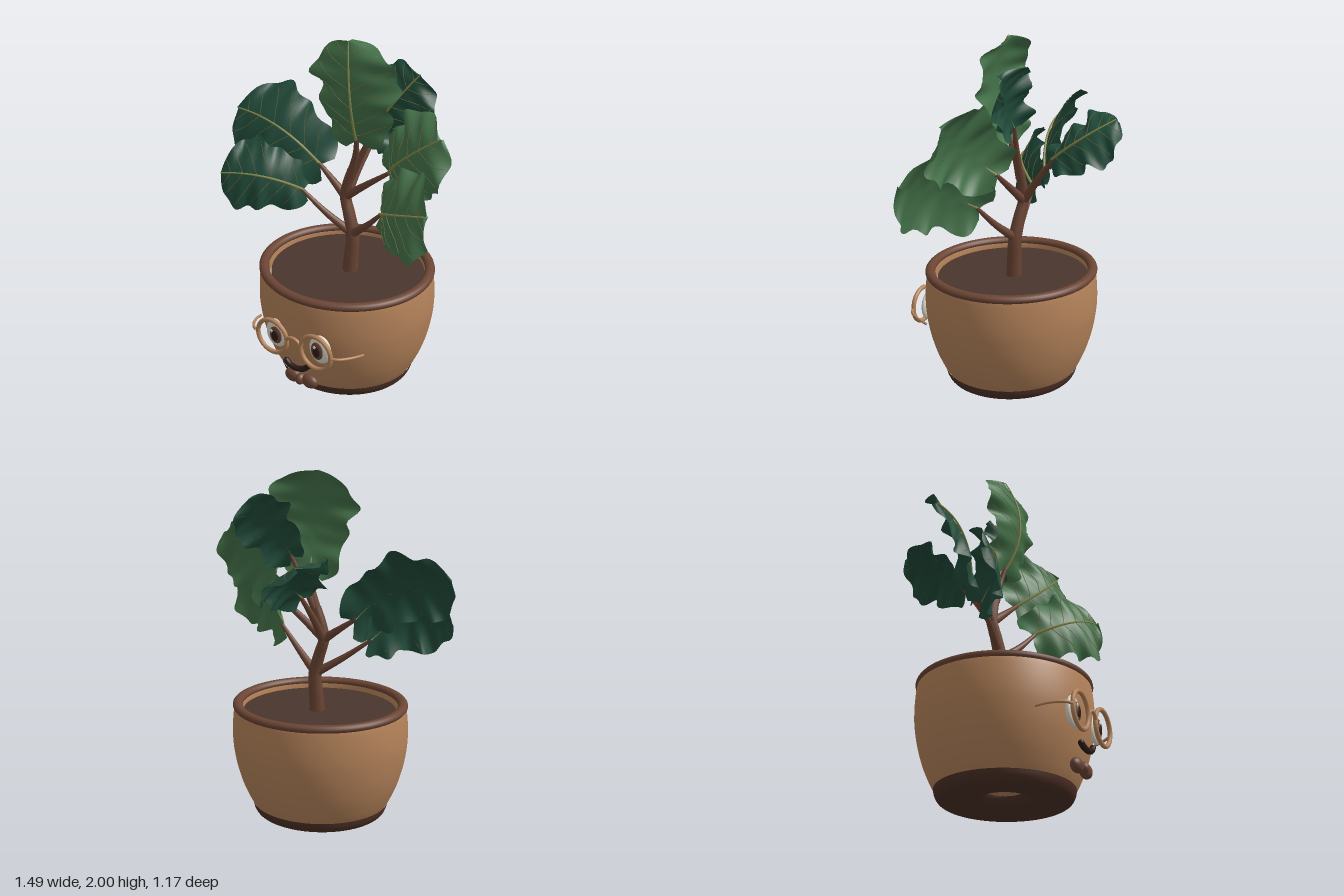
import * as THREE from 'three';

const mat = (name, color, double) => {
  const m = new THREE.MeshStandardMaterial({ color });
  m.name = name;
  if (double) m.side = THREE.DoubleSide;
  return m;
};
const M = {
  clay: mat('clay', 0xb5835a),
  bark: mat('bark brown', 0x6b4534),
  soil: mat('soil', 0x4a352e),
  dark: mat('dark brown', 0x4b2f25),
  pupil: mat('pupil', 0x2c1c18),
  white: mat('eye white', 0xdedacb),
  light: mat('light green', 0x45734a, true),
  deep: mat('deep green', 0x214b3a, true),
  vein: mat('vein', 0x87884a),
  sideVein: mat('side vein', 0x6f6a3e),
};
const V = (x, y, z) => new THREE.Vector3(x, y, z);
const PX = 0.046, PZ = 0.053; // pot centre

function mesh(parent, name, geo, material, pos) {
  const m = new THREE.Mesh(geo, material);
  m.name = name;
  if (pos) m.position.set(...pos);
  parent.add(m);
  return m;
}

// Tube through points, narrowing from r0 to r1
function taperTube(points, r0, r1, seg = 20, sides = 10) {
  const curve = new THREE.CatmullRomCurve3(points);
  const geo = new THREE.TubeGeometry(curve, seg, 1, sides);
  const p = geo.attributes.position, v = V(0, 0, 0);
  for (let i = 0; i < p.count; i++) {
    const t = Math.floor(i / (sides + 1)) / seg;
    const c = curve.getPointAt(t);
    v.fromBufferAttribute(p, i).sub(c).multiplyScalar(r0 + (r1 - r0) * t).add(c);
    p.setXYZ(i, v.x, v.y, v.z);
  }
  return geo;
}

function ellipsoid(rx, ry, rz) {
  return new THREE.SphereGeometry(1, 28, 18).scale(rx, ry, rz);
}

// Half-width outline of a leaf along its midrib
const outline = new THREE.SplineCurve([[-0.03, 0.3], [0.05, 0.64], [0.2, 0.75], [0.38, 0.82],
  [0.58, 1], [0.76, 0.97], [0.9, 0.68], [0.97, 0.36], [1, 0]].map(a => new THREE.Vector2(...a)));

function addLeaf(parent, { name, base, tip, normal, width, bend = 0.07, side = 0, fold = 0.055, phase = 0, material }) {
  const g = new THREE.Group();
  g.name = name;
  parent.add(g);
  const B = V(...base), F = V(...tip).sub(B), L = F.length();
  F.normalize();
  const N = V(...normal);
  N.addScaledVector(F, -N.dot(F)).normalize();
  const S = F.clone().cross(N);

  const point = (t, v, lift = 0) => {
    const { x: u, y: w } = outline.getPoint(t);
    const a = Math.abs(v), arch = 4 * u * (1 - u);
    const scallop = 1 + 0.07 * Math.sin(u * 23 + phase + v * 1.5);
    const notch = 0.08 * a * Math.pow(1 - Math.max(u, 0), 5);
    const ripple = 0.025 * a * a * Math.sin(u * 17 + phase + (v > 0 ? 0 : 1.7))
      + 0.012 * a * Math.sin(u * 31 + phase);
    return B.clone()
      .addScaledVector(F, L * (u - notch))
      .addScaledVector(S, side * arch + v * w * width * scallop)
      .addScaledVector(N, bend * arch - fold * v * v * w + ripple + lift);
  };

  // Blade
  const rows = 44, cols = 20, pos = [], idx = [];
  for (let i = 0; i <= rows; i++) for (let j = 0; j <= cols; j++) {
    pos.push(...point(i / rows, (j / cols) * 2 - 1).toArray());
    if (i < rows && j < cols) {
      const a = i * (cols + 1) + j, b = a + 1, c = a + cols + 1, d = c + 1;
      idx.push(a, b, d, a, d, c);
    }
  }
  const geo = new THREE.BufferGeometry();
  geo.setAttribute('position', new THREE.Float32BufferAttribute(pos, 3));
  geo.setIndex(idx);
  geo.computeVertexNormals();
  mesh(g, 'blade', geo, material);

  // Midrib and side veins on the upper face only
  const rib = [];
  for (let i = 0; i <= 12; i++) rib.push(point(i / 12.4, 0, 0.008));
  mesh(g, 'midrib', taperTube(rib, 0.009, 0.004, 24, 6), M.vein);
  for (let k = 0; k < 6; k++) for (const s of [-1, 1]) {
    const t0 = 0.12 + k * 0.12, pts = [];
    for (let i = 0; i <= 6; i++) pts.push(point(t0 + 0.14 * i / 6, s * 0.88 * i / 6, 0.002));
    mesh(g, 'sideVein', taperTube(pts, 0.002, 0.0015, 12, 4), M.sideVein);
  }
}

function buildPot(root) {
  const pot = new THREE.Group();
  pot.name = 'pot';
  pot.position.set(PX, 0, PZ);
  pot.scale.z = 0.955;
  root.add(pot);
  const lathe = (name, pts, m) => mesh(pot, name,
    new THREE.LatheGeometry(new THREE.SplineCurve(pts.map(p => new THREE.Vector2(...p))).getPoints(48), 72), m);
  lathe('potBody', [[0.394, 0.068], [0.42, 0.115], [0.457, 0.2], [0.487, 0.3], [0.505, 0.4], [0.511, 0.48],
    [0.508, 0.57], [0.496, 0.655], [0.47, 0.67], [0.455, 0.65], [0.45, 0.59]], M.clay);
  lathe('potFoot', [[0.1, 0.1], [0.105, 0.06], [0.15, 0.022], [0.24, 0.003], [0.33, 0], [0.37, 0.012],
    [0.39, 0.04], [0.398, 0.072]], M.dark);
  mesh(pot, 'drainHole', new THREE.CircleGeometry(0.12, 32).rotateX(Math.PI / 2), M.clay, [0, 0.075, 0]);
  mesh(pot, 'rim', new THREE.TorusGeometry(0.48, 0.029, 16, 72).rotateX(Math.PI / 2).scale(1, 0.8, 1), M.bark, [0, 0.658, 0]);
  mesh(pot, 'soil', new THREE.CylinderGeometry(0.444, 0.444, 0.03, 64), M.soil, [0, 0.61, -0.01]);
}

function buildFace(root) {
  const face = new THREE.Group();
  face.name = 'face';
  root.add(face);
  const EY = 0.393;
  for (const s of [-1, 1]) {
    const x = PX + 0.003 + s * 0.149;
    // Eye
    mesh(face, 'eyeball', ellipsoid(0.072, 0.088, 0.028), M.white, [x, EY, 0.521]);
    mesh(face, 'iris', ellipsoid(0.041, 0.054, 0.012), M.bark, [x - s * 0.006, EY - 0.002, 0.543]);
    mesh(face, 'pupil', ellipsoid(0.024, 0.033, 0.008), M.pupil, [x - s * 0.006, EY - 0.004, 0.551]);
    mesh(face, 'eyeGlint', ellipsoid(0.009, 0.011, 0.004), M.white, [x - 0.016, EY + 0.024, 0.556]);
    // Glasses
    mesh(face, 'glassesRing', new THREE.TorusGeometry(0.101, 0.013, 10, 48), M.clay, [x, EY, 0.565]);
    mesh(face, 'glassesArm', taperTube([V(PX + s * 0.258, EY, 0.565), V(PX + s * 0.29, EY, 0.55),
      V(PX + s * 0.325, EY - 0.005, 0.505), V(PX + s * 0.348, EY - 0.013, 0.45), V(PX + s * 0.358, EY - 0.022, 0.405)],
    0.009, 0.007), M.clay);
    // Bow tie wing
    mesh(face, 'bowWing', ellipsoid(0.053, 0.041, 0.032), M.bark, [PX + s * 0.058, 0.132, 0.497]);
  }
  mesh(face, 'bowKnot', ellipsoid(0.027, 0.034, 0.034), M.bark, [PX, 0.132, 0.506]);
  mesh(face, 'glassesBridge', taperTube([V(PX - 0.047, 0.4, 0.567), V(PX - 0.03, 0.425, 0.57), V(PX, 0.435, 0.571),
    V(PX + 0.03, 0.425, 0.57), V(PX + 0.052, 0.4, 0.567)], 0.01, 0.01), M.clay);
  // Smile
  const smile = [V(-0.03, 0.243, 0.532), V(0, 0.226, 0.536), V(0.045, 0.22, 0.538), V(0.095, 0.235, 0.536), V(0.125, 0.262, 0.532)];
  mesh(face, 'smile', taperTube(smile, 0.017, 0.017), M.pupil);
  for (const p of [smile[0], smile[4]]) mesh(face, 'smileEnd', ellipsoid(0.017, 0.017, 0.017), M.pupil, p.toArray());
}

function buildStems(root) {
  const stems = new THREE.Group();
  stems.name = 'stems';
  root.add(stems);
  const stem = (name, r0, r1, ...pts) => mesh(stems, name, taperTube(pts.map(p => V(...p)), r0, r1), M.bark);
  stem('trunk', 0.046, 0.026, [0.055, 0.58, 0.035], [0.06, 0.72, 0.028], [0.064, 0.85, 0.02], [0.03, 0.97, 0.01],
    [0, 1.06, 0], [0.015, 1.15, 0], [0.045, 1.24, 0]);
  stem('topBranch', 0.028, 0.012, [0.035, 1.2, 0], [0.075, 1.33, 0.01], [0.1, 1.45, 0.04]);
  stem('topBackBranch', 0.025, 0.01, [0.03, 1.18, 0], [0.1, 1.34, -0.015], [0.18, 1.53, -0.04]);
  stem('lowerLeafBranchRight', 0.027, 0.01, [0.06, 0.85, 0.02], [-0.1, 0.95, 0.05], [-0.26, 1.065, 0.07]);
  stem('lowerLeafBranchLeft', 0.027, 0.01, [0.06, 0.85, 0.02], [0.19, 0.96, 0.075], [0.32, 1.09, 0.12]);
  stem('upperLeafBranchRight', 0.027, 0.011, [0, 1.06, 0], [-0.1, 1.13, -0.015], [-0.21, 1.205, -0.03]);
  stem('upperLeafBranchLeft', 0.027, 0.011, [0, 1.06, 0], [0.14, 1.17, 0.01], [0.3, 1.29, 0.01]);
  stem('backLeafBranch', 0.026, 0.011, [0.005, 1.07, -0.01], [0.02, 1.2, -0.1], [0.045, 1.34, -0.21]);
}

const LEAVES = [
  { name: 'topLeaf', base: [0.1, 1.45, 0.04], tip: [0.06, 2, 0.05], normal: [0, 0.05, 1], width: 0.265, bend: 0.075, side: 0.035, phase: 0.5, material: M.light },
  { name: 'topBackLeaf', base: [0.18, 1.53, -0.04], tip: [0.41, 1.84, -0.1], normal: [0.15, 0.35, 0.9], width: 0.185, bend: 0.02, phase: 2, material: M.deep },
  { name: 'upperLeftLeaf', base: [0.3, 1.29, 0.01], tip: [0.67, 1.61, 0.11], normal: [-0.2, 0.3, 0.9], width: 0.23, side: 0.01, phase: 1, material: M.light },
  { name: 'lowerLeftLeaf', base: [0.32, 1.09, 0.12], tip: [0.74, 1.28, 0.33], normal: [-0.4, 0.28, 0.85], width: 0.235, phase: 3, material: M.light },
  { name: 'upperRightLeaf', base: [-0.21, 1.205, -0.03], tip: [-0.73, 1.44, 0.04], normal: [0.1, 0.48, 0.87], width: 0.245, side: 0.05, phase: 4, material: M.deep },
  { name: 'lowerRightLeaf', base: [-0.26, 1.065, 0.07], tip: [-0.65, 1.15, 0.31], normal: [0.4, 0.33, 0.85], width: 0.205, side: 0.035, phase: 5, material: M.deep },
  { name: 'backLeaf', base: [0.045, 1.34, -0.21], tip: [-0.07, 1.57, -0.53], normal: [0.65, 0.62, 0.3], width: 0.2, bend: 0.04, side: 0.03, phase: 0, material: M.deep },
];

export function createModel() {
  const root = new THREE.Group();
  root.name = 'pottedPlant';
  buildPot(root);
  buildFace(root);
  buildStems(root);
  LEAVES.forEach(l => addLeaf(root, l));
  return root;
}
